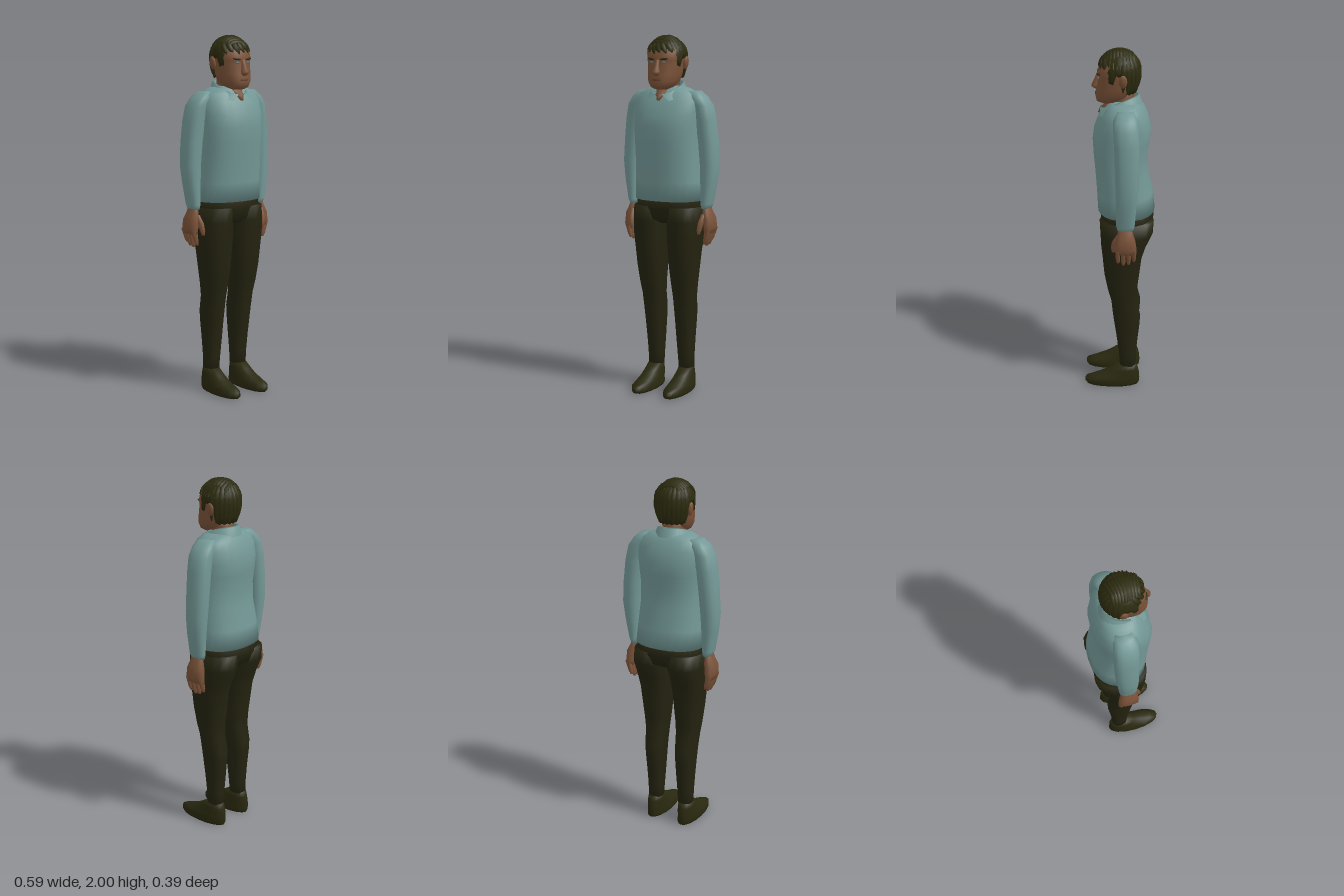
import * as THREE from 'three';

const mat = (name, color, side = THREE.FrontSide) => {
  const m = new THREE.MeshStandardMaterial({ color, side });
  m.name = name;
  return m;
};

// Skin a grid of points; each row is a ring (closed) or a strip (open)
function skin(rows, closed = true) {
  const n = rows[0].length, last = rows.length - 1;
  const pts = rows.flat(), idx = [];
  for (let i = 0; i < last; i++) {
    for (let j = 0; j < (closed ? n : n - 1); j++) {
      const a = i * n + j, b = i * n + (j + 1) % n;
      idx.push(a, a + n, b, b, a + n, b + n);
    }
  }
  if (closed) {
    const mid = (r) => r.reduce((s, p) => s.add(p), new THREE.Vector3()).divideScalar(n);
    const lo = pts.push(mid(rows[0])) - 1, hi = pts.push(mid(rows[last])) - 1;
    for (let j = 0; j < n; j++) {
      const k = (j + 1) % n;
      idx.push(lo, j, k, hi, last * n + k, last * n + j);
    }
  }
  const g = new THREE.BufferGeometry().setFromPoints(pts);
  g.setIndex(idx);
  g.computeVertexNormals();
  return g;
}

// Rings from bottom to top: [y, xMin, xMax, zBack, zFront]; s = -1 mirrors
function loft(rings, s = 1, n = 16, power = 2.3) {
  const f = (v) => Math.sign(v) * Math.abs(v) ** (2 / power);
  return skin(rings.map(([y, x0, x1, z0, z1]) => Array.from({ length: n }, (_, j) => {
    const a = j / n * Math.PI * 2;
    return new THREE.Vector3(s * (x0 + x1) / 2 + (x1 - x0) / 2 * f(Math.cos(a)), y,
      (z0 + z1) / 2 + (z1 - z0) / 2 * f(Math.sin(a)));
  })));
}
const sym = (rings) => rings.map(([y, x, z0, z1]) => [y, -x, x, z0, z1]);

// Tapered lock of hair along a curve around the skull
const SKULL = new THREE.Vector3(0, 1.87, 0);
function lock(points, width, thick) {
  const curve = new THREE.CatmullRomCurve3(points), rows = [];
  for (let i = 0; i <= 7; i++) {
    const t = i / 7, p = curve.getPoint(t), out = p.clone().sub(SKULL).normalize();
    const side = curve.getTangent(t).cross(out).normalize();
    const w = 0.05 + 0.95 * Math.sin(Math.PI * (0.12 + 0.86 * t)) ** 0.7;
    rows.push(Array.from({ length: 6 }, (_, j) => {
      const a = j / 6 * Math.PI * 2;
      return p.clone().addScaledVector(side, Math.cos(a) * width * w)
        .addScaledVector(out, Math.sin(a) * thick * w);
    }));
  }
  return skin(rows);
}

export function createModel() {
  const root = new THREE.Group();
  root.name = 'standingMan';
  const shirt = mat('shirt teal', 0x739896), collarMat = mat('collar teal', 0x739896, THREE.DoubleSide);
  const trousers = mat('trouser olive', 0x242310), shoe = mat('shoe olive', 0x29280f);
  const skinMat = mat('skin brown', 0x7a5238), hair = mat('hair olive', 0x2c2b0f);
  const eye = mat('eye grey', 0x68737a), lip = mat('lip brown', 0x573527);
  const add = (name, geo, material, parent = root) => {
    const m = new THREE.Mesh(geo, material);
    m.name = name;
    parent.add(m);
    return m;
  };
  const blob = (name, material, pos, scale) => {
    const m = add(name, new THREE.SphereGeometry(1, 12, 8), material);
    m.position.set(...pos);
    m.scale.set(...scale);
    return m;
  };

  // Torso and hips
  add('shirtBody', loft(sym([
    [1.095, 0.2, -0.195, 0.12], [1.2, 0.192, -0.183, 0.125], [1.32, 0.186, -0.157, 0.133],
    [1.42, 0.186, -0.153, 0.142], [1.5, 0.19, -0.165, 0.146], [1.57, 0.194, -0.17, 0.137],
    [1.64, 0.194, -0.152, 0.107], [1.685, 0.172, -0.13, 0.08], [1.71, 0.12, -0.112, 0.06],
    [1.725, 0.07, -0.09, 0.04]]), 1, 24), shirt);
  add('trouserHips', loft(sym([
    [0.965, 0.1, -0.12, 0.05], [0.99, 0.17, -0.17, 0.09], [1.05, 0.198, -0.19, 0.105],
    [1.11, 0.194, -0.185, 0.11]]), 1, 20), trousers);

  // Limbs, mirrored
  for (const s of [1, -1]) {
    const tag = s > 0 ? 'left' : 'right';
    const part = (name, rings, m, n, p) => add(tag + name, loft(rings, s, n, p), m);
    part('TrouserLeg', [
      [0.125, 0.055, 0.14, -0.096, -0.003], [0.2, 0.05, 0.142, -0.097, 0.002],
      [0.3, 0.044, 0.147, -0.106, 0.014], [0.4, 0.04, 0.153, -0.117, 0.028],
      [0.46, 0.037, 0.157, -0.119, 0.036], [0.55, 0.032, 0.164, -0.097, 0.045],
      [0.62, 0.028, 0.172, -0.1, 0.064], [0.72, 0.02, 0.183, -0.112, 0.083],
      [0.82, 0.013, 0.193, -0.124, 0.092], [0.9, 0.007, 0.203, -0.148, 0.1],
      [0.98, 0.004, 0.206, -0.185, 0.104], [1.06, 0.004, 0.2, -0.19, 0.108]], trousers);
    part('Shoe', [
      [0, 0.045, 0.155, -0.113, 0.192], [0.012, 0.04, 0.16, -0.117, 0.2],
      [0.036, 0.043, 0.16, -0.118, 0.199], [0.052, 0.046, 0.156, -0.117, 0.155],
      [0.075, 0.05, 0.15, -0.115, 0.095], [0.1, 0.054, 0.146, -0.11, 0.05],
      [0.13, 0.058, 0.14, -0.1, 0.005]], shoe, 16, 2.1);
    part('Sleeve', [
      [1.055, 0.205, 0.25, -0.08, 0.008], [1.08, 0.2, 0.261, -0.085, 0.014],
      [1.2, 0.195, 0.283, -0.095, 0.016], [1.3, 0.19, 0.294, -0.105, 0.018],
      [1.42, 0.18, 0.286, -0.11, 0.021], [1.54, 0.165, 0.273, -0.11, 0.026],
      [1.62, 0.145, 0.257, -0.105, 0.03], [1.665, 0.12, 0.226, -0.097, 0.03],
      [1.698, 0.11, 0.188, -0.08, 0.012]], shirt);
    part('Palm', [
      [0.92, 0.228, 0.268, -0.095, 0.018], [0.95, 0.222, 0.279, -0.097, 0.022],
      [1, 0.214, 0.278, -0.09, 0.018], [1.035, 0.212, 0.26, -0.078, 0.008],
      [1.08, 0.214, 0.245, -0.066, -0.004]], skinMat, 12);
    [0.868, 0.85, 0.846, 0.858].forEach((y, i) => {
      const z = -0.082 + i * 0.029;
      part('Finger' + (i + 1), [
        [y, 0.226, 0.242, z - 0.007, z + 0.006], [y + 0.02, 0.228, 0.253, z - 0.012, z + 0.011],
        [0.945, 0.236, 0.275, z - 0.014, z + 0.014]], skinMat, 8);
    });
    part('Thumb', [
      [0.915, 0.204, 0.22, 0.023, 0.038], [0.94, 0.202, 0.228, 0.014, 0.044],
      [0.98, 0.204, 0.236, -0.004, 0.038], [1.025, 0.212, 0.24, -0.03, 0.012]], skinMat, 8);

    // Ear, eye and brow
    blob(tag + 'Ear', skinMat, [s * 0.104, 1.85, -0.02], [0.013, 0.037, 0.022]).rotation.z = -s * 0.15;
    blob(tag + 'Eye', eye, [s * 0.036, 1.853, 0.111], [0.013, 0.005, 0.005]);
    const brow = blob(tag + 'Brow', hair, [s * 0.04, 1.872, 0.11], [0.024, 0.006, 0.009]);
    brow.rotation.set(0, s * 0.25, s * 0.12);
  }

  // Head, nose, mouth and neck
  add('head', loft(sym([
    [1.708, 0.035, 0.03, 0.1], [1.72, 0.058, -0.01, 0.124], [1.75, 0.08, -0.055, 0.13],
    [1.79, 0.089, -0.075, 0.124], [1.84, 0.095, -0.085, 0.115], [1.865, 0.097, -0.09, 0.115],
    [1.88, 0.098, -0.092, 0.117], [1.92, 0.095, -0.09, 0.106], [1.96, 0.07, -0.065, 0.075],
    [1.98, 0.025, -0.03, 0.03]]), 1, 20), skinMat);
  add('nose', loft(sym([
    [1.782, 0.012, 0.1, 0.13], [1.793, 0.021, 0.1, 0.149], [1.805, 0.02, 0.1, 0.149],
    [1.835, 0.012, 0.1, 0.134], [1.868, 0.012, 0.1, 0.121]]), 1, 8, 2), skinMat);
  blob('mouth', lip, [0, 1.76, 0.123], [0.029, 0.0055, 0.0085]);
  add('neck', loft(sym([
    [1.648, 0.01, 0, 0.116], [1.675, 0.03, -0.03, 0.106], [1.7, 0.05, -0.07, 0.08],
    [1.73, 0.06, -0.078, 0.055], [1.79, 0.06, -0.078, 0.05]])), skinMat);

  // Folded collar, open at the front with two points
  const collarRow = (rx, zb, zf, yBack, yFront, gap) => Array.from({ length: 25 }, (_, j) => {
    const a = gap + j / 24 * (Math.PI * 2 - gap * 2), c = Math.cos(a);
    const k = ((1 + c) / 2) ** 1.5;
    return new THREE.Vector3(Math.sin(a) * rx, yBack + (yFront - yBack) * k,
      (zb + zf) / 2 + c * (zf - zb) / 2);
  });
  add('collar', skin([
    collarRow(0.07, -0.09, 0.09, 1.71, 1.665, 0.1), collarRow(0.078, -0.096, 0.094, 1.755, 1.68, 0.15),
    collarRow(0.088, -0.106, 0.105, 1.75, 1.68, 0.22), collarRow(0.112, -0.124, 0.132, 1.702, 1.638, 0.62)],
  false), collarMat);

  // Hair cap with a hairline that falls from brow to nape
  const radii = [[1.74, 0.72], [1.79, 0.9], [1.84, 0.99], [1.9, 1], [1.94, 0.9], [1.97, 0.66], [1.988, 0.2]];
  const capPoint = (a, y, grow = 1) => {
    let i = 0;
    while (i < radii.length - 2 && y > radii[i + 1][0]) i++;
    const [y0, r0] = radii[i], [y1, r1] = radii[i + 1];
    const r = grow * (r0 + (r1 - r0) * (y - y0) / (y1 - y0));
    return new THREE.Vector3(Math.cos(a) * 0.105 * r, y, Math.sin(a) * 0.109 * r);
  };
  const hairline = (a) => {
    const f = Math.sin(a);
    return f > 0.62 ? 1.912 : f > 0.25 ? 1.83 : f > -0.35 ? 1.875 : 1.765;
  };
  const capRows = [0, 0.2, 0.4, 0.6, 0.8, 0.92, 1].map((t) => Array.from({ length: 40 }, (_, j) => {
    const a = j / 40 * Math.PI * 2, y0 = hairline(a) + (j % 2) * 0.008;
    return capPoint(a, y0 + (1.988 - y0) * t, 1 + (j % 2) * 0.025);
  }));
  add('hairCap', skin(capRows), hair);

  // Swept locks over the crown, from the right parting to the left
  const locks = new THREE.Group();
  locks.name = 'hairLocks';
  root.add(locks);
  const top = (x, z) => new THREE.Vector3(x, 1.885 + 0.107 * Math.sqrt(Math.max(0, 1 - (x * x + z * z) / 0.0128)), z);
  for (let i = 0; i < 10; i++) {
    const z0 = -0.062 + i * 0.0145, z1 = -0.085 + i * 0.0195;
    const x1 = Math.sqrt(0.0118 - z1 * z1);
    add('sweptLock', lock([top(-0.083 + Math.abs(i - 4) * 0.003, z0), top(-0.035, z0 + 0.004),
      top(0.03, (z0 + z1) / 2), top(x1, z1)], 0.015, 0.01), hair, locks);
  }
  // Locks down the back and sides, and a short fringe
  for (let i = 0; i < 11; i++) {
    const a = Math.PI * (1.1 + i * 0.08), end = 1.775 + (i % 3) * 0.012;
    add('backLock', lock([capPoint(a, 1.965), capPoint(a + 0.06, 1.92, 1.01), capPoint(a + 0.1, 1.85, 1.01),
      capPoint(a + 0.12, end, 1.02)], 0.017, 0.008), hair, locks);
  }
  for (let i = 0; i < 6; i++) {
    const a = Math.PI * (0.82 - i * 0.105);
    add('fringeLock', lock([capPoint(a + 0.15, 1.968), capPoint(a + 0.08, 1.945, 1.02),
      capPoint(a - 0.06, 1.92, 1.02), capPoint(a - 0.16, 1.897 + (i % 2) * 0.01, 1.02)], 0.015, 0.008), hair, locks);
  }
  return root;
}
